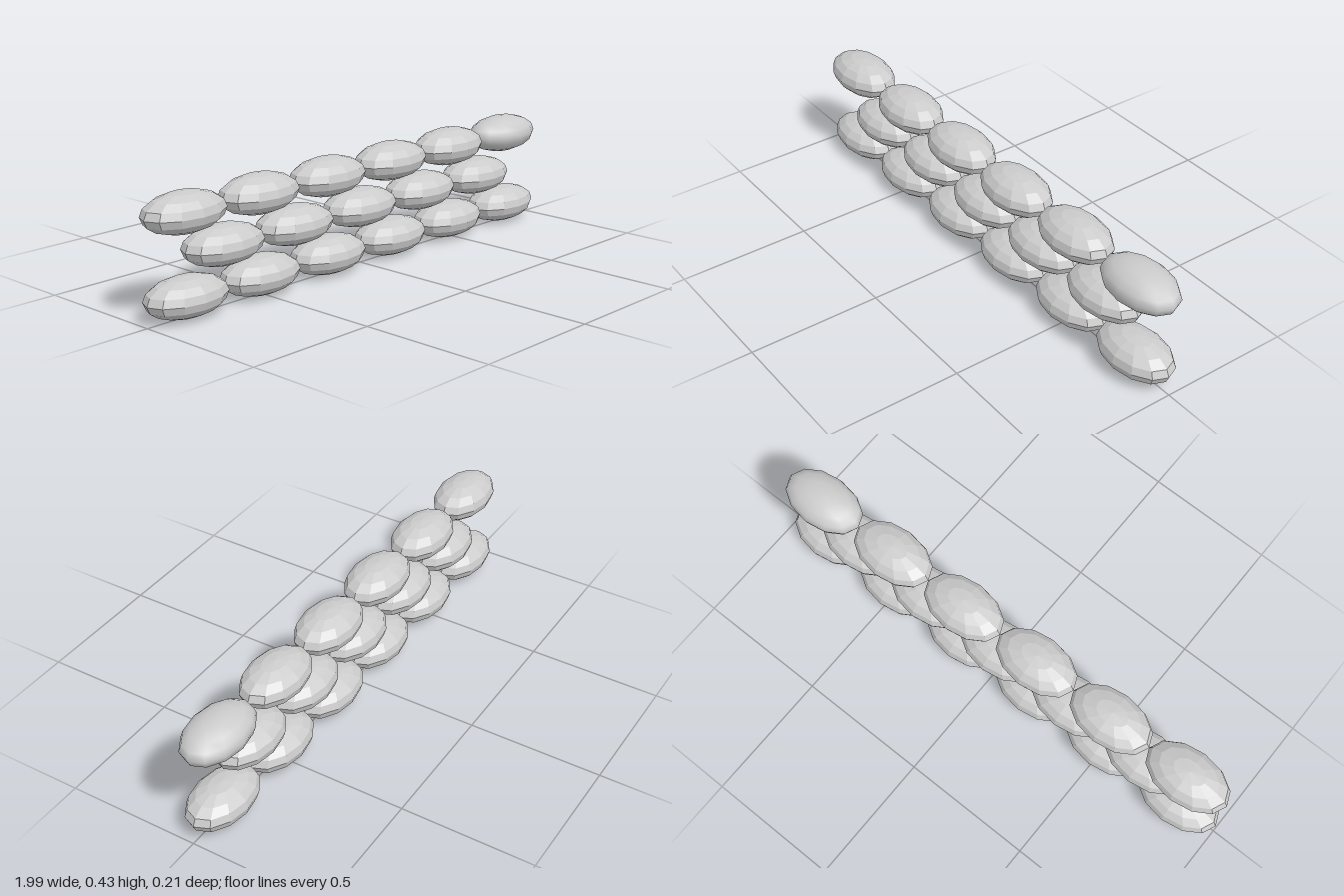
import * as THREE from 'three';

const RADII = [0.1662, 0.0705, 0.103]; // half length, half height, half depth
const PITCH = 0.332;

// A low-poly ellipsoid bag, 12 sides around and 8 bands high
function bagGeometry() {
  return new THREE.SphereGeometry(1, 12, 8).scale(...RADII);
}

export function createModel() {
  const wall = new THREE.Group();
  wall.name = 'sandbagWall';

  const geometry = bagGeometry();
  const faceted = new THREE.MeshStandardMaterial({ color: 0xcccccc, flatShading: true });
  const smooth = new THREE.MeshStandardMaterial({ color: 0xcccccc });

  // Three courses; the middle one is shifted half a bag
  const courses = [
    { name: 'bottomRow', count: 6, x: -0.833, y: 0.073 },
    { name: 'middleRow', count: 5, x: -0.667, y: 0.2165 },
    { name: 'topRow', count: 6, x: -0.833, y: 0.36 },
  ];

  for (const { name, count, x, y } of courses) {
    const row = new THREE.Group();
    row.name = name;
    for (let i = 0; i < count; i++) {
      // The last bag of the top row is smooth
      const isSmooth = name === 'topRow' && i === count - 1;
      const bag = new THREE.Mesh(geometry, isSmooth ? smooth : faceted);
      bag.name = isSmooth ? 'smoothSandbag' : 'sandbag';
      bag.position.set(x + i * PITCH, y, 0);
      row.add(bag);
    }
    wall.add(row);
  }
  return wall;
}
